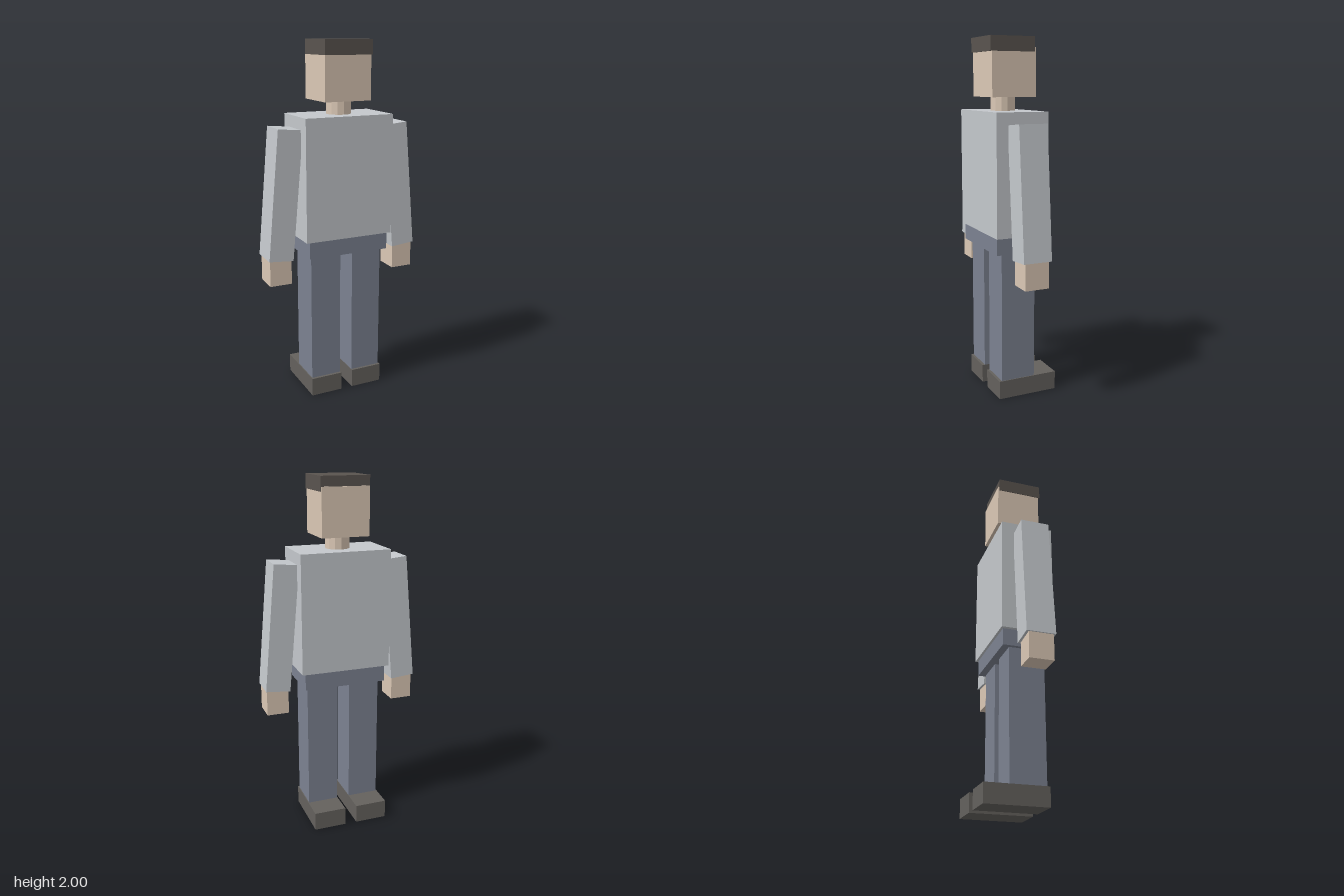
import * as THREE from 'three';

const material = (color) => new THREE.MeshStandardMaterial({ color, flatShading: true });

export function createModel() {
  const model = new THREE.Group();
  model.name = 'blockFigure';

  const skin = material(0xdbc8b5);
  const shirt = material(0xc4c8cc);
  const trousers = material(0x7c8291);
  const leather = material(0x64615d);
  const hairColor = material(0x5a544f);

  const add = (name, geometry, mat, x, y, z) => {
    const mesh = new THREE.Mesh(geometry, mat);
    mesh.name = name;
    mesh.position.set(x, y, z);
    model.add(mesh);
    return mesh;
  };

  // Box given by its limits on each axis
  const block = (name, mat, [x0, x1], [y0, y1], [z0, z1]) =>
    add(name, new THREE.BoxGeometry(x1 - x0, y1 - y0, z1 - z0), mat,
      (x0 + x1) / 2, (y0 + y1) / 2, (z0 + z1) / 2);

  // Head, hair and neck
  block('head', skin, [-0.135, 0.135], [1.68, 1.945], [-0.098, 0.16]);
  block('hair', hairColor, [-0.138, 0.138], [1.92, 2], [-0.09, 0.169]);
  add('neck', new THREE.CylinderGeometry(0.068, 0.068, 0.1, 12), skin, 0, 1.645, 0.04);

  // Trunk
  block('torso', shirt, [-0.258, 0.258], [0.935, 1.605], [-0.112, 0.189]);
  block('hips', trousers, [-0.237, 0.237], [0.84, 0.94], [-0.098, 0.18]);

  // Limbs, mirrored left and right
  for (const [side, s] of [['left', 1], ['right', -1]]) {
    const span = (a, b) => (s > 0 ? [a, b] : [-b, -a]);

    const arm = add(side + 'Arm', new THREE.BoxGeometry(0.14, 0.716, 0.162), shirt,
      s * 0.348, 1.187, 0.04);
    arm.rotation.z = s * 0.09;

    block(side + 'Hand', skin, span(0.318, 0.443), [0.69, 0.85], [-0.027, 0.11]);
    block(side + 'Leg', trousers, span(0.037, 0.215), [0.1, 0.85], [-0.057, 0.143]);
    block(side + 'Shoe', leather, span(0.035, 0.22), [0, 0.105], [-0.192, 0.158]);
  }

  return model;
}
